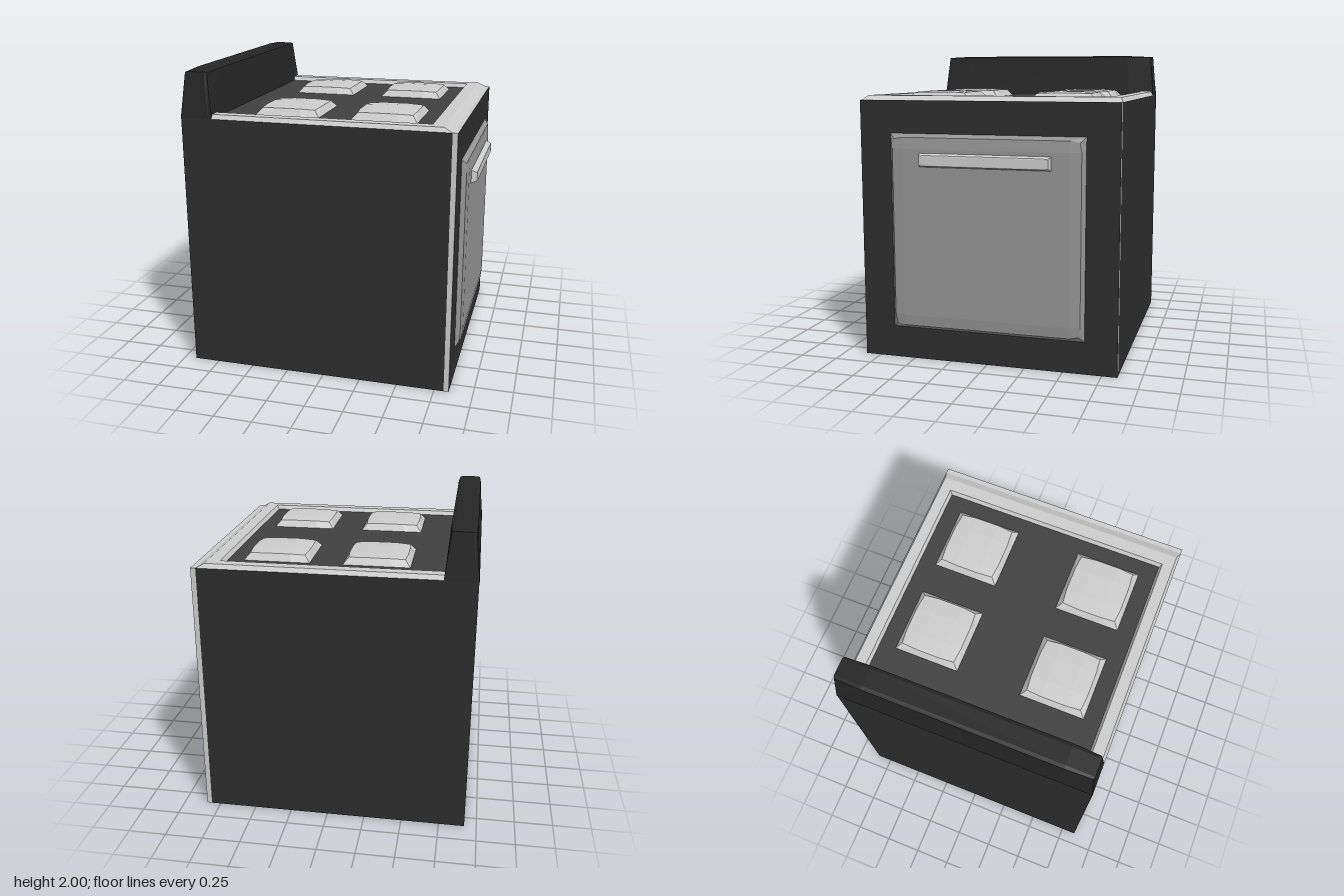
import * as THREE from 'three';

const mat = (color) => new THREE.MeshStandardMaterial({ color, flatShading: true });
const grey = mat(0xcccccc);
const dark = mat(0x2d2d2d);
const boardDark = mat(0x262626);
const hobDark = mat(0x404040);
const doorGrey = mat(0x949494);

function add(parent, name, geometry, material, x = 0, y = 0, z = 0) {
  const mesh = new THREE.Mesh(geometry, material);
  mesh.name = name;
  mesh.position.set(x, y, z);
  parent.add(mesh);
  return mesh;
}

// Tapered block standing on y = 0 with a softly domed top: the top corners
// sink by `drop` and the middles of the top edges swell out by `bulge`.
function domedBlock(w, h, d, inset, drop, bulge, k = 0.75) {
  const g = new THREE.BoxGeometry(w, h, d, 3, 1, 3);
  const p = g.attributes.position;
  const snap = (t) => (Math.abs(t) > 0.9 ? Math.sign(t) : Math.sign(t) * k);
  for (let i = 0; i < p.count; i++) {
    const u = snap(p.getX(i) / (w / 2));
    const v = snap(p.getZ(i) / (d / 2));
    const edgeU = Math.abs(u) === 1;
    const edgeV = Math.abs(v) === 1;
    if (p.getY(i) > 0) {
      const sx = w / 2 - inset + (edgeU && !edgeV ? bulge : 0);
      const sz = d / 2 - inset + (edgeV && !edgeU ? bulge : 0);
      const sink = edgeU && edgeV ? drop : edgeU || edgeV ? drop * 0.6 : 0;
      p.setXYZ(i, u * sx, h - sink, v * sz);
    } else {
      p.setXYZ(i, (u * w) / 2, 0, (v * d) / 2);
    }
  }
  g.computeVertexNormals();
  return g;
}

// Rectangular frame skinned through loops of [xMin, xMax, halfDepth, y]
function frame(loops) {
  const pos = [];
  const index = [];
  for (const [x0, x1, z, y] of loops) {
    pos.push(x0, y, z, x1, y, z, x1, y, -z, x0, y, -z);
  }
  for (let l = 0; l < loops.length - 1; l++) {
    for (let i = 0; i < 4; i++) {
      const a = l * 4 + i;
      const b = l * 4 + ((i + 1) % 4);
      index.push(a, b, b + 4, a, b + 4, a + 4);
    }
  }
  const g = new THREE.BufferGeometry();
  g.setAttribute('position', new THREE.Float32BufferAttribute(pos, 3));
  g.setIndex(index);
  g.computeVertexNormals();
  return g;
}

export function createModel() {
  const stove = new THREE.Group();
  stove.name = 'stove';

  // Cabinet: dark walls, hob surface on top, grey underside
  add(stove, 'cabinet', new THREE.BoxGeometry(1.732, 1.7, 1.7),
    [dark, dark, hobDark, grey, dark, dark], -0.054, 0.85, 0);

  // Front panel: dark face with grey edges
  add(stove, 'frontPanel', new THREE.BoxGeometry(0.033, 1.7, 1.7),
    [dark, grey, grey, grey, grey, grey], 0.8285, 0.85, 0);

  // Raised rim around the hob
  add(stove, 'hobRim', frame([
    [-0.75, 0.812, 0.85, 1.7],
    [-0.75, 0.76, 0.832, 1.728],
    [-0.74, 0.68, 0.76, 1.728],
    [-0.74, 0.665, 0.745, 1.7],
  ]), grey);

  // Four burners
  for (const x of [-0.285, 0.35]) {
    for (const z of [-0.425, 0.425]) {
      add(stove, 'burner', domedBlock(0.425, 0.053, 0.425, 0.035, 0.012, 0.009, 0.45),
        grey, x, 1.7, z);
    }
  }

  // Backboard
  add(stove, 'backboard', domedBlock(0.21, 0.3, 1.7, 0.032, 0.014, 0.007, 0.785),
    boardDark, -0.817, 1.7, 0);

  // Oven door and handle, turned to face +x
  const door = add(stove, 'ovenDoor', domedBlock(1.28, 0.038, 1.28, 0.034, 0.013, 0.011, 0.9),
    doorGrey, 0.845, 0.85, 0);
  door.rotation.z = -Math.PI / 2;
  const handle = add(stove, 'doorHandle', domedBlock(0.09, 0.042, 0.86, 0.014, 0.004, 0.003, 0.9),
    grey, 0.88, 1.325, 0);
  handle.rotation.z = -Math.PI / 2;

  return stove;
}
